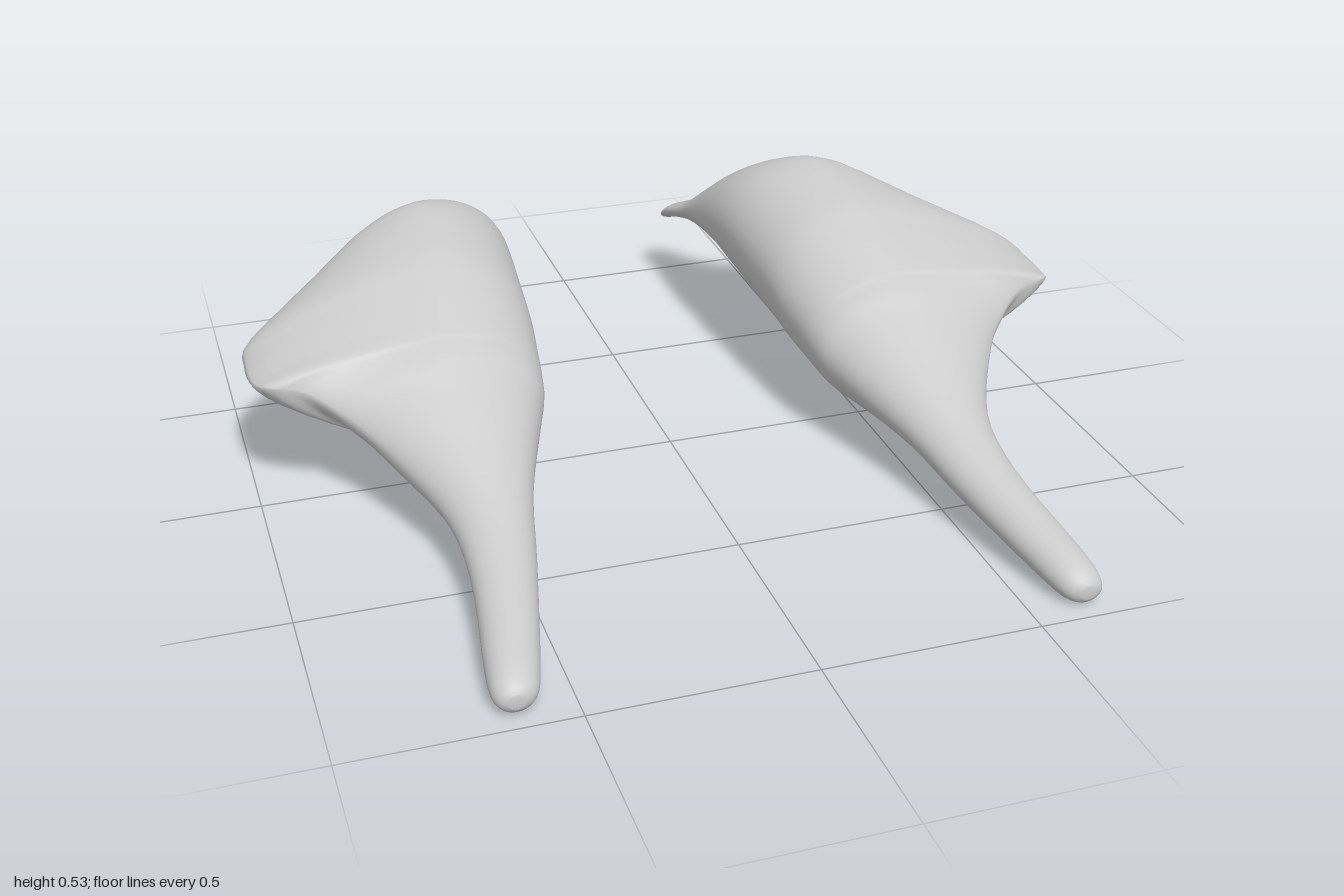
import * as THREE from 'three';

// Cross-sections from front tip to back tip:
// [z, inner x, outer x, bottom y, top y, height of outer edge]
const SECTIONS = [
  [0.965, 0.61, 0.645, 0.02, 0.05, 0.035],
  [0.945, 0.58, 0.668, 0.003, 0.072, 0.035],
  [0.87, 0.555, 0.67, 0.005, 0.1, 0.048],
  [0.6, 0.49, 0.637, 0.052, 0.168, 0.11],
  [0.4, 0.445, 0.655, 0.085, 0.238, 0.16],
  [0.2, 0.375, 0.755, 0.092, 0.335, 0.235],
  [0.12, 0.345, 0.825, 0.097, 0.38, 0.28],
  [0.075, 0.335, 0.89, 0.101, 0.4, 0.315],
  [0.055, 0.332, 0.965, 0.103, 0.41, 0.328],
  [0, 0.325, 0.993, 0.11, 0.432, 0.315],
  [-0.1, 0.312, 0.998, 0.125, 0.47, 0.315],
  [-0.2, 0.305, 0.972, 0.14, 0.502, 0.327],
  [-0.4, 0.29, 0.785, 0.168, 0.53, 0.355],
  [-0.5, 0.285, 0.685, 0.185, 0.508, 0.345],
  [-0.6, 0.285, 0.575, 0.207, 0.45, 0.32],
  [-0.7, 0.286, 0.478, 0.228, 0.37, 0.29],
  [-0.8, 0.286, 0.418, 0.225, 0.295, 0.255],
  [-0.9, 0.276, 0.372, 0.2, 0.244, 0.222],
  [-0.95, 0.279, 0.347, 0.18, 0.209, 0.194],
  [-0.965, 0.292, 0.328, 0.175, 0.187, 0.181],
];
const STEPS = 4, SIDES = 48;

// Smooth blend of all section values at position u
function sectionAt(u) {
  const last = SECTIONS.length - 1;
  const i = Math.min(Math.floor(u), last - 1), t = u - i;
  const [a, b, c, d] = [-1, 0, 1, 2].map(k => SECTIONS[THREE.MathUtils.clamp(i + k, 0, last)]);
  return b.map((v, k) => v + 0.5 * t * (c[k] - a[k]
    + t * (2 * a[k] - 5 * v + 4 * c[k] - d[k] + t * (3 * (v - c[k]) + d[k] - a[k]))));
}

// Point on a section outline: four joined quarter curves.
// Wide sections keep crest and keel near the inner side and taper outward into a fin.
function outlinePoint([z, inner, outer, bottom, top, edgeY], angle) {
  const c = Math.cos(angle), s = Math.sin(angle);
  const width = outer - inner;
  const sharp = c > 0 ? 1 + 0.45 * THREE.MathUtils.smoothstep(width, 0.2, 0.65) : 1;
  const ridgeX = inner + Math.min(width / 2, s >= 0 ? 0.23 : 0.16);
  const sideX = c > 0 ? outer : inner;
  const sideY = c > 0 ? edgeY : (bottom + top) / 2;
  const endY = s >= 0 ? top : bottom;
  return [
    ridgeX + (sideX - ridgeX) * Math.abs(c) ** sharp,
    sideY + (endY - sideY) * Math.abs(s) ** sharp,
    z,
  ];
}

// Lofted closed body; side = 1 or -1 mirrors it across x
function bodyGeometry(side) {
  const pos = [], idx = [];
  const rings = (SECTIONS.length - 1) * STEPS + 1;
  for (let i = 0; i < rings; i++) {
    const section = sectionAt(i / STEPS);
    for (let j = 0; j < SIDES; j++) {
      const [x, y, z] = outlinePoint(section, j / SIDES * Math.PI * 2);
      pos.push(x * side, y, z);
    }
  }
  const tri = (a, b, c) => side > 0 ? idx.push(a, b, c) : idx.push(a, c, b);
  for (let i = 0; i < rings - 1; i++) {
    for (let j = 0; j < SIDES; j++) {
      const k = (j + 1) % SIDES, a = i * SIDES, b = a + SIDES;
      tri(a + j, b + j, a + k);
      tri(a + k, b + j, b + k);
    }
  }
  // Close both tips
  const end = (rings - 1) * SIDES, tip = rings * SIDES;
  for (const [z, inner, outer, bottom, top] of [SECTIONS[0], SECTIONS.at(-1)]) {
    pos.push(side * (inner + outer) / 2, (bottom + top) / 2, z);
  }
  for (let j = 0; j < SIDES; j++) {
    const k = (j + 1) % SIDES;
    tri(tip, j, k);
    tri(tip + 1, end + k, end + j);
  }
  const geometry = new THREE.BufferGeometry();
  geometry.setAttribute('position', new THREE.Float32BufferAttribute(pos, 3));
  geometry.setIndex(idx);
  geometry.computeVertexNormals();
  return geometry;
}

export function createModel() {
  const group = new THREE.Group();
  const material = new THREE.MeshStandardMaterial({ color: 0xcccccc });
  for (const side of [1, -1]) {
    const mesh = new THREE.Mesh(bodyGeometry(side), material);
    mesh.name = side > 0 ? 'leftFinnedBody' : 'rightFinnedBody';
    group.add(mesh);
  }
  return group;
}
